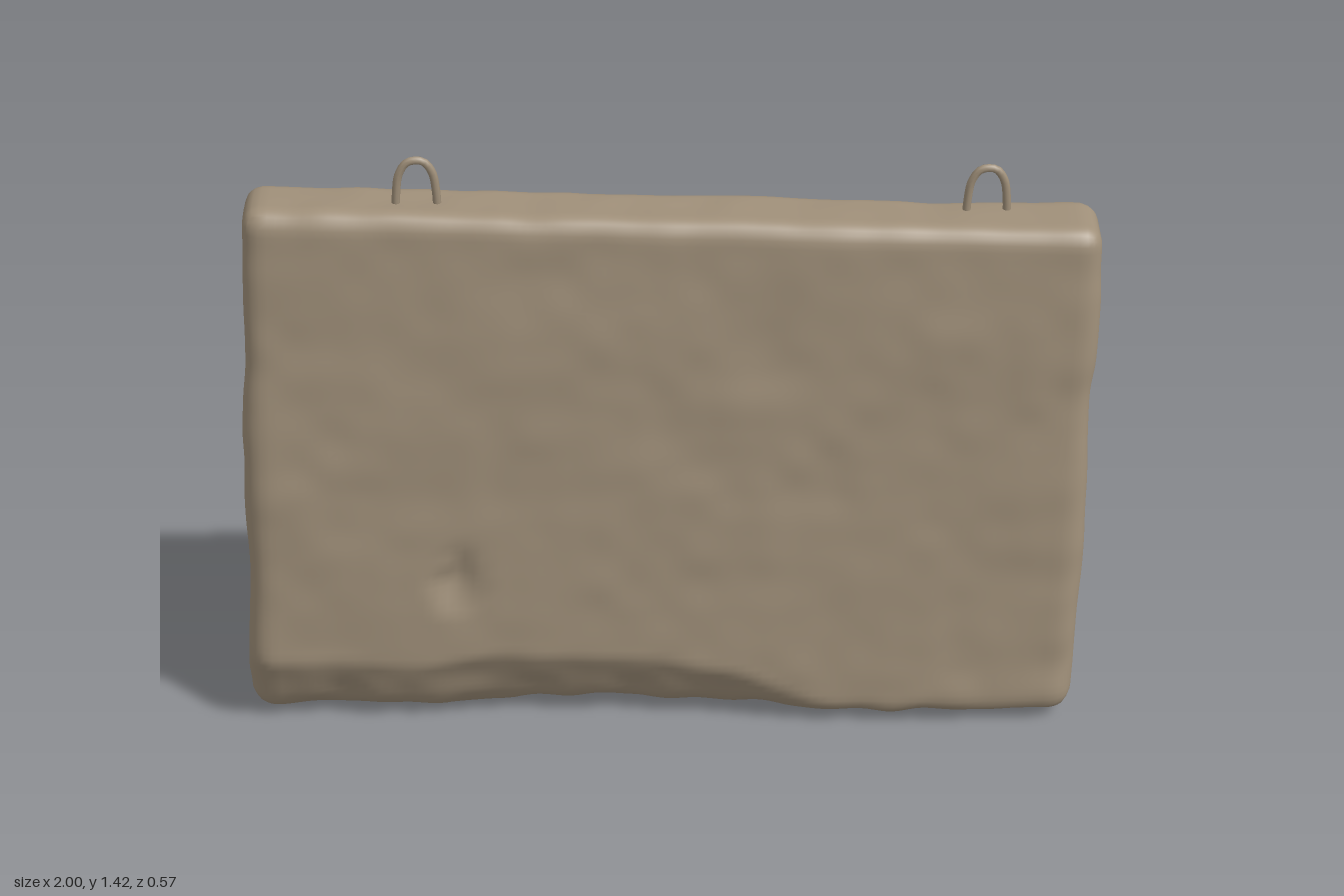
import * as THREE from 'three';
import { mergeVertices } from 'three/addons/utils/BufferGeometryUtils.js';

const { lerp, clamp, smoothstep } = THREE.MathUtils;

// Smooth seeded value noise for the weathered surface
function hash(i, j, k) {
  const s = Math.sin(i * 127.1 + j * 311.7 + k * 74.7) * 43758.5453;
  return (s - Math.floor(s)) * 2 - 1;
}
function noise(x, y, z) {
  const [i, j, k] = [x, y, z].map(Math.floor);
  const [u, v, w] = [x - i, y - j, z - k].map((t) => t * t * (3 - 2 * t));
  const row = (b, c) => lerp(hash(i, b, c), hash(i + 1, b, c), u);
  const layer = (c) => lerp(row(j, c), row(j + 1, c), v);
  return lerp(layer(k), layer(k + 1), w);
}

const topHeight = (x) => 1.288 - 0.037 * x;

// Tapered slab: a fine box whose vertices are rounded, sloped and roughened
function slabGeometry() {
  let geo = new THREE.BoxGeometry(2, 2, 2, 100, 70, 24);
  geo.deleteAttribute('normal');
  geo.deleteAttribute('uv');
  geo = mergeVertices(geo, 1e-4);
  const pos = geo.attributes.position;
  const p = new THREE.Vector3(), inner = new THREE.Vector3(), dir = new THREE.Vector3();
  for (let n = 0; n < pos.count; n++) {
    p.fromBufferAttribute(pos, n);
    const t = (p.y + 1) / 2;
    // Section at this height
    const left = lerp(-1.0, -0.95, t), right = lerp(0.98, 0.995, t);
    const front = lerp(0.285, 0.178, t), back = lerp(-0.29, -0.008, t);
    const x = lerp(left, right, (p.x + 1) / 2);
    const top = topHeight(x);
    p.set(x, 0.008 + t * (top - 0.008), lerp(back, front, (p.z + 1) / 2));
    // Rounded edges
    const r = lerp(0.065, 0.045, t);
    inner.set(clamp(p.x, left + r, right - r), clamp(p.y, 0.008 + r, top - r), clamp(p.z, back + r, front - r));
    dir.subVectors(p, inner).normalize();
    p.copy(inner).addScaledVector(dir, r);
    // Worn vertical corners at the back
    const end = smoothstep(Math.abs(p.x), 0.88, 1);
    if (p.z < 0) p.z += 0.05 * end * (1 - t);
    // Broken lower front edge, deepest on the right-hand side
    const worn = 0.16 * (1 - smoothstep(p.x, -0.1, 0.45)) + 0.03 + 0.035 * noise(p.x * 5, 2, 7);
    if (p.z > 0.1 && p.y < worn) p.z -= 0.5 * (worn - p.y) * smoothstep(p.z, 0.1, 0.25);
    // Small hollow in the front face
    if (p.z > 0.1) {
      const d = Math.hypot((p.x + 0.49) / 0.09, (p.y - 0.4) / 0.1);
      p.z -= 0.025 * Math.max(0, 1 - d) * (0.7 + 0.6 * noise(p.x * 25, p.y * 25, 3));
    }
    // Large dents and fine roughness, stronger near the ground
    const rough = 0.006 * noise(p.x * 5, p.y * 5, p.z * 5)
      + lerp(0.009, 0.003, smoothstep(p.y, 0.02, 0.3)) * noise(p.x * 13 + 5, p.y * 13, p.z * 13);
    p.addScaledVector(dir, rough);
    p.y = Math.max(p.y, 0);
    pos.setXYZ(n, p.x, p.y, p.z);
  }
  geo.computeVertexNormals();
  return geo;
}

// Lifting loop: a bent bar sunk into the top
function loopGeometry() {
  const points = [[-0.047, -0.04], [-0.045, 0.02], [-0.037, 0.068], [-0.017, 0.095],
    [0.017, 0.095], [0.037, 0.068], [0.045, 0.02], [0.047, -0.04]];
  const curve = new THREE.CatmullRomCurve3(points.map(([x, y]) => new THREE.Vector3(x, y, 0)));
  return new THREE.TubeGeometry(curve, 28, 0.0095, 8);
}

export function createModel() {
  const model = new THREE.Group();
  model.name = 'concreteBarrier';
  const concrete = new THREE.MeshStandardMaterial({ color: 0x9f8f79 });
  concrete.name = 'concrete';

  const slab = new THREE.Mesh(slabGeometry(), concrete);
  slab.name = 'slab';
  model.add(slab);

  const loop = loopGeometry();
  for (const [name, x, z, turn] of [['rightLiftingLoop', -0.56, 0.095, 0.1], ['leftLiftingLoop', 0.735, 0.063, 0.05]]) {
    const mesh = new THREE.Mesh(loop, concrete);
    mesh.name = name;
    mesh.position.set(x, topHeight(x) + 0.006, z);
    mesh.rotation.y = turn;
    model.add(mesh);
  }
  return model;
}
